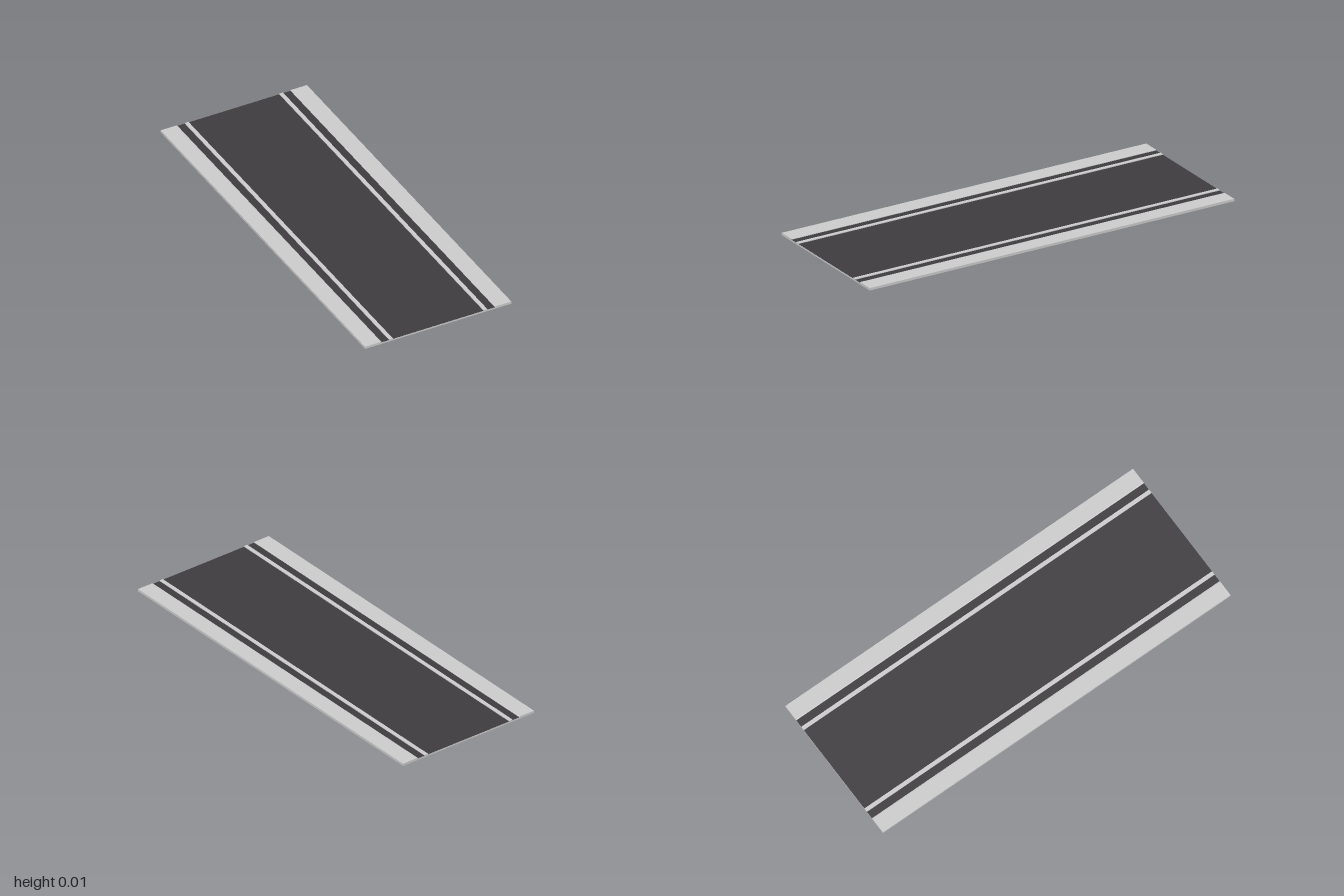
import * as THREE from 'three';

const LENGTH = 2, HALF = 0.387, ROAD_Y = 0.0085, TOP_Y = 0.0125;
const grey = new THREE.MeshStandardMaterial({ color: 0xcccccc, flatShading: true });
const asphalt = new THREE.MeshStandardMaterial({ color: 0x3e3c3f });

// Extrudes an (x, y) cross-section along the road
function strip(name, points) {
  const shape = new THREE.Shape(points.map(([x, y]) => new THREE.Vector2(x, y)));
  const geometry = new THREE.ExtrudeGeometry(shape, { depth: LENGTH, bevelEnabled: false });
  geometry.translate(0, 0, -LENGTH / 2);
  const mesh = new THREE.Mesh(geometry, grey);
  mesh.name = name;
  return mesh;
}

export function createModel() {
  const group = new THREE.Group();
  group.name = 'roadSegment';

  // Road bed below the asphalt
  const bedTop = ROAD_Y - 0.0005;
  group.add(strip('roadBed', [[-0.3, 0], [0.3, 0], [0.3, bedTop], [-0.3, bedTop]]));

  // Dark driving surface
  const surface = new THREE.Mesh(new THREE.PlaneGeometry(0.6, LENGTH).rotateX(-Math.PI / 2), asphalt);
  surface.name = 'roadSurface';
  surface.position.y = ROAD_Y;
  group.add(surface);

  for (const [side, s] of [['left', 1], ['right', -1]]) {
    // Raised sidewalk with a slightly eased kerb edge
    group.add(strip(side + 'Sidewalk', [
      [s * 0.3, 0], [s * HALF, 0], [s * HALF, TOP_Y], [s * 0.304, TOP_Y], [s * 0.3, TOP_Y - 0.001],
    ]));
    // Edge line along the lane
    group.add(strip(side + 'EdgeLine', [
      [s * 0.24, ROAD_Y - 0.0003], [s * 0.26, ROAD_Y - 0.0003], [s * 0.26, TOP_Y - 0.0005], [s * 0.24, TOP_Y - 0.0005],
    ]));
  }
  return group;
}
